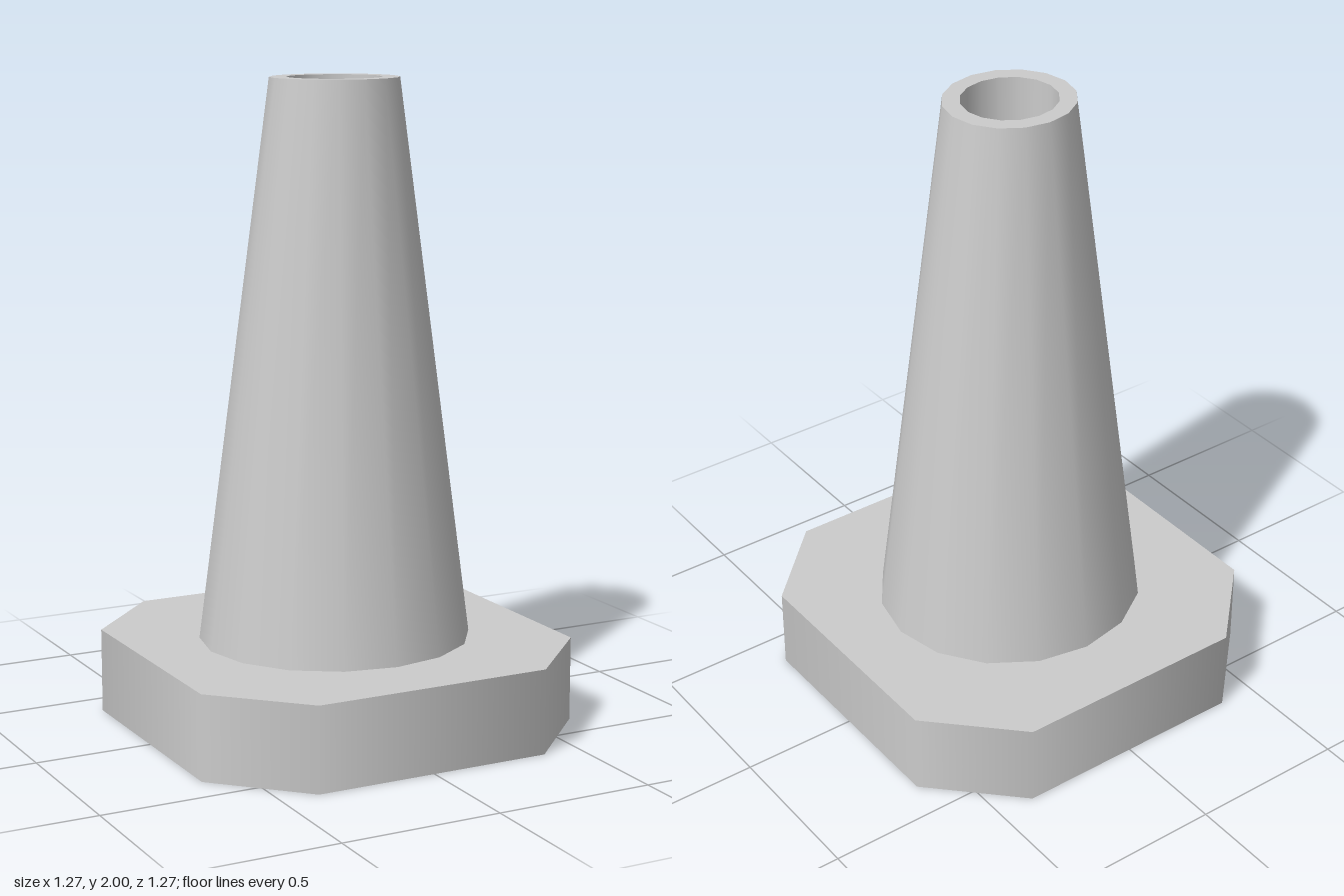
import * as THREE from 'three';

const SIDES = 16;      // facets around the cone
const DEPTH = 0.955;   // the cone is slightly narrower in z than in x
const BASE_TOP = 0.265, HEIGHT = 2;
const FOOT_R = 0.427, TIP_R = 0.2, BORE_R = 0.147;
const HALF = 0.633, CORNER = 0.38;   // base half width and start of the cut corners

export function createModel() {
  const model = new THREE.Group();
  const material = new THREE.MeshStandardMaterial({ color: 0xcccccc, side: THREE.DoubleSide });
  const add = (name, geometry) => {
    const mesh = new THREE.Mesh(geometry, material);
    mesh.name = name;
    model.add(mesh);
  };
  // Flat shapes are drawn in XY and laid down facing up at height y
  const layFlat = (geometry, y) => geometry.rotateX(-Math.PI / 2).translate(0, y, 0);

  // Base skirt: an open eight-sided wall stretched to a square with cut corners
  const skirt = new THREE.CylinderGeometry(1, 1, BASE_TOP, 8, 1, true, Math.PI / 8);
  skirt.translate(0, BASE_TOP / 2, 0);
  const p = skirt.attributes.position;
  for (let i = 0; i < p.count; i++) {
    const x = p.getX(i), z = p.getZ(i), wide = Math.abs(x) > Math.abs(z);
    p.setX(i, Math.sign(x) * (wide ? HALF : CORNER));
    p.setZ(i, Math.sign(z) * (wide ? CORNER : HALF));
  }
  add('baseSkirt', skirt);

  // Base plate: thin sheet with an opening under the cone
  const plate = new THREE.Shape([
    [HALF, -CORNER], [HALF, CORNER], [CORNER, HALF], [-CORNER, HALF],
    [-HALF, CORNER], [-HALF, -CORNER], [-CORNER, -HALF], [CORNER, -HALF],
  ].map(([x, y]) => new THREE.Vector2(x, y)));
  const opening = [];
  for (let i = 0; i < SIDES; i++) {
    const a = -i / SIDES * Math.PI * 2;
    opening.push(new THREE.Vector2(FOOT_R * Math.cos(a), FOOT_R * DEPTH * Math.sin(a)));
  }
  plate.holes.push(new THREE.Path(opening));
  add('basePlate', layFlat(new THREE.ShapeGeometry(plate), BASE_TOP));

  // Tapered cone wall
  const wallHeight = HEIGHT - BASE_TOP;
  add('coneWall', new THREE.CylinderGeometry(TIP_R, FOOT_R, wallHeight, SIDES, 1, true)
    .translate(0, BASE_TOP + wallHeight / 2, 0).scale(1, 1, DEPTH));

  // Flat rim around the tip
  add('tipRim', layFlat(new THREE.RingGeometry(BORE_R, TIP_R, SIDES), HEIGHT).scale(1, 1, DEPTH));

  // Bore wall, going down to a floor set just inside the foot of the cone
  const floorY = BASE_TOP + 0.02;
  const boreDepth = HEIGHT - floorY;
  add('boreWall', new THREE.CylinderGeometry(BORE_R, BORE_R, boreDepth, SIDES, 1, true)
    .translate(0, floorY + boreDepth / 2, 0).scale(1, 1, DEPTH));
  add('coneFloor', layFlat(new THREE.CircleGeometry(FOOT_R - 0.003, SIDES), floorY).scale(1, 1, DEPTH));

  return model;
}
